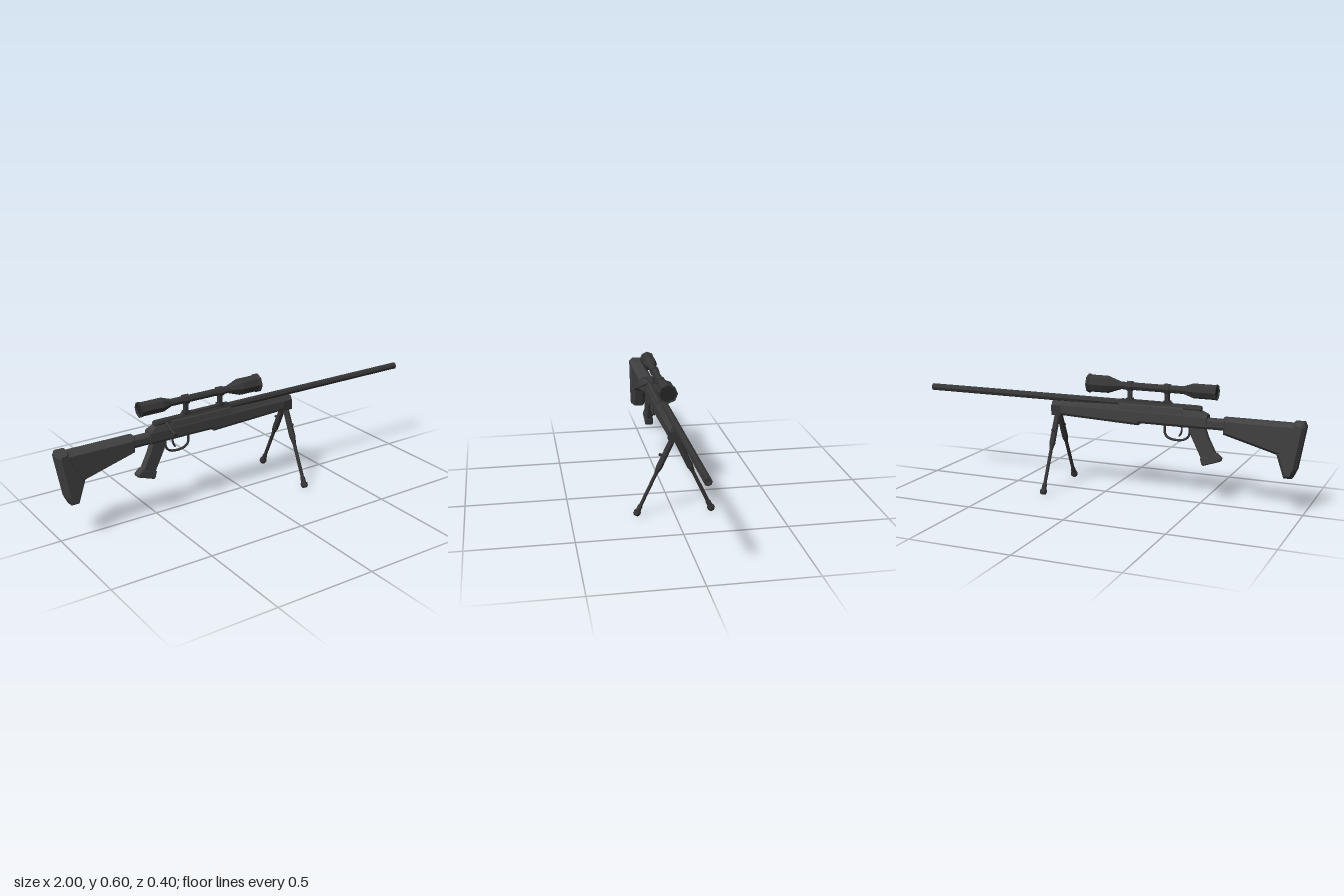
import * as THREE from 'three';

const paint = (name, color) => {
  const m = new THREE.MeshStandardMaterial({ color, flatShading: true });
  m.name = name;
  return m;
};

export function createModel() {
  const model = new THREE.Group();
  const body = paint('charcoal polymer', 0x404040);
  const metal = paint('dark steel', 0x363636);
  const glass = paint('dark glass', 0x262626);

  const add = (name, geometry, material, parent = model) => {
    const mesh = new THREE.Mesh(geometry, material);
    mesh.name = name;
    parent.add(mesh);
    return mesh;
  };

  const box = (name, x0, x1, y0, y1, halfZ, material) =>
    add(name, new THREE.BoxGeometry(x1 - x0, y1 - y0, halfZ * 2)
      .translate((x0 + x1) / 2, (y0 + y1) / 2, 0), material);

  // Side outline [x, y] with chamfered edges, centred on z = 0
  const slab = (name, outline, halfZ, bevel, material) => {
    const shape = new THREE.Shape(outline.map(([x, y]) => new THREE.Vector2(x, y)));
    const depth = 2 * (halfZ - bevel);
    const g = new THREE.ExtrudeGeometry(shape, {
      depth, bevelEnabled: bevel > 0, bevelSize: bevel * 0.75, bevelThickness: bevel,
      bevelOffset: -bevel * 0.75, bevelSegments: 1,
    });
    return add(name, g.translate(0, 0, -depth / 2), material);
  };

  // Faceted turning along x; profile is [x, radius] from rear to front
  const turned = (name, profile, y, sides, material) =>
    add(name, new THREE.LatheGeometry(profile.map(([x, r]) => new THREE.Vector2(r, x)), sides)
      .rotateZ(-Math.PI / 2).translate(0, y, 0), material);

  // Straight bar between two points
  const rod = (name, a, b, ra, rb, sides, material, parent) => {
    const from = new THREE.Vector3(...a), to = new THREE.Vector3(...b);
    const dir = to.clone().sub(from);
    const mesh = add(name, new THREE.CylinderGeometry(rb, ra, dir.length(), sides), material, parent);
    mesh.position.copy(from).addScaledVector(dir, 0.5);
    mesh.quaternion.setFromUnitVectors(new THREE.Vector3(0, 1, 0), dir.normalize());
    return mesh;
  };

  // Convex mirrored sections along x; each is [x, [[z, y] from bottom to top]]
  const loft = (name, sections, material) => {
    const rings = sections.map(([x, half]) => [
      ...half.map(([z, y]) => [x, y, z]),
      ...half.slice().reverse().map(([z, y]) => [x, y, -z]),
    ]);
    const n = rings[0].length, pos = [];
    const tri = (...corners) => corners.forEach((c) => pos.push(...c));
    for (let s = 0; s < rings.length - 1; s++) {
      const A = rings[s], B = rings[s + 1];
      for (let i = 0; i < n; i++) {
        const j = (i + 1) % n;
        tri(A[i], B[i], B[j]);
        tri(A[i], B[j], A[j]);
      }
    }
    const first = rings[0], last = rings[rings.length - 1];
    for (let i = 1; i < n - 1; i++) {
      tri(first[0], first[i], first[i + 1]);
      tri(last[0], last[i + 1], last[i]);
    }
    const g = new THREE.BufferGeometry();
    g.setAttribute('position', new THREE.Float32BufferAttribute(pos, 3));
    g.computeVertexNormals();
    return add(name, g, material);
  };

  // Shoulder stock and its pad
  slab('stock', [[-0.96, 0.437], [-0.96, 0.27], [-0.87, 0.285], [-0.61, 0.357], [-0.61, 0.437]],
    0.039, 0.02, body);
  slab('buttPad', [[-1, 0.425], [-0.99, 0.447], [-0.945, 0.447], [-0.925, 0.40], [-0.868, 0.288],
    [-0.905, 0.177], [-0.945, 0.177], [-0.965, 0.22]], 0.042, 0.02, body);
  loft('stockNeck', [-0.62, -0.51].map((x) =>
    [x, [[0.014, 0.375], [0.022, 0.388], [0.022, 0.415], [0.014, 0.426]]]), body);

  // Fore-end, stepped up ahead of the middle
  const foreSection = (x, bottom, top) =>
    [x, [[0.02, bottom], [0.028, bottom + 0.012], [0.028, 0.43], [0.018, top]]];
  loft('foreEnd', [foreSection(-0.18, 0.364, 0.462), foreSection(0.285, 0.382, 0.45)], body);
  loft('lowerReceiver', [foreSection(-0.53, 0.375, 0.442), foreSection(-0.49, 0.375, 0.46),
    foreSection(-0.18, 0.375, 0.462)], body);
  loft('upperReceiver', [[-0.41, 0.474], [-0.08, 0.474]].map(([x, top]) =>
    [x, [[0.027, 0.43], [0.022, 0.462], [0.013, top]]]), body);

  // Barrel with an open muzzle
  turned('barrel', [[-0.3, 0], [-0.3, 0.018], [0.99, 0.018], [1, 0.018], [1, 0.011], [0.98, 0.011],
    [0.98, 0]], 0.467, 8, metal);

  // Bolt and its swept handle
  turned('bolt', [[-0.497, 0], [-0.497, 0.015], [-0.485, 0.018], [-0.3, 0.018], [-0.3, 0]], 0.466, 8, metal);
  rod('boltHandle', [-0.435, 0.458, 0.012], [-0.435, 0.433, 0.078], 0.012, 0.006, 6, metal);
  rod('boltKnob', [-0.435, 0.436, 0.07], [-0.435, 0.428, 0.094], 0.006, 0.009, 6, metal);

  // Pistol grip with a flared foot
  slab('grip', [[-0.515, 0.385], [-0.535, 0.33], [-0.575, 0.25], [-0.505, 0.22], [-0.45, 0.33],
    [-0.435, 0.385]], 0.019, 0.009, body);
  slab('gripFoot', [[-0.575, 0.258], [-0.602, 0.235], [-0.598, 0.222], [-0.512, 0.192],
    [-0.505, 0.2], [-0.497, 0.228]], 0.021, 0.006, body);

  // Trigger and guard
  const guardPath = new THREE.CatmullRomCurve3([[-0.44, 0.38], [-0.435, 0.33], [-0.41, 0.309],
    [-0.345, 0.307], [-0.316, 0.325], [-0.312, 0.38]].map(([x, y]) => new THREE.Vector3(x, y, 0)));
  add('triggerGuard', new THREE.TubeGeometry(guardPath, 16, 0.006, 6, false), metal);
  const triggerPath = new THREE.QuadraticBezierCurve3(new THREE.Vector3(-0.395, 0.38, 0),
    new THREE.Vector3(-0.405, 0.345, 0), new THREE.Vector3(-0.385, 0.325, 0));
  add('trigger', new THREE.TubeGeometry(triggerPath, 5, 0.005, 5, false), metal);

  // Scope tube, recessed lenses, rings, posts and rail
  turned('scope', [[-0.56, 0], [-0.56, 0.032], [-0.572, 0.032], [-0.572, 0.039], [-0.56, 0.036],
    [-0.455, 0.036], [-0.405, 0.019], [-0.085, 0.019], [-0.015, 0.043], [0.075, 0.043],
    [0.08, 0.048], [0.09, 0.048], [0.09, 0.042], [0.075, 0.042], [0.075, 0]], 0.552, 8, metal);
  turned('frontLens', [[0.072, 0.042], [0.08, 0.042], [0.08, 0]], 0.552, 8, glass);
  turned('rearLens', [[-0.565, 0], [-0.565, 0.032], [-0.558, 0.032]], 0.552, 8, glass);
  for (const x of [-0.322, -0.13]) {
    turned('scopeRing', [[x - 0.014, 0], [x - 0.014, 0.025], [x + 0.014, 0.025], [x + 0.014, 0]],
      0.552, 8, metal);
    box('scopePost', x - 0.01, x + 0.01, 0.48, 0.54, 0.009, metal);
    box('scopeClamp', x - 0.016, x + 0.016, 0.478, 0.494, 0.014, metal);
  }
  box('scopeRail', -0.345, -0.085, 0.465, 0.486, 0.012, metal);

  // Folding two-legged support
  box('bipodHead', 0.235, 0.287, 0.378, 0.43, 0.0285, metal);
  for (const side of [1, -1]) {
    const leg = new THREE.Group();
    leg.name = side > 0 ? 'leftBipodLeg' : 'rightBipodLeg';
    model.add(leg);
    const at = (y, z) => [0.26, y, z * side];
    rod('upperLeg', at(0.4, 0.002), at(0.245, 0.075), 0.015, 0.016, 8, metal, leg);
    rod('legTaper', at(0.245, 0.075), at(0.215, 0.09), 0.016, 0.009, 8, metal, leg);
    rod('lowerLeg', at(0.22, 0.087), at(0.04, 0.172), 0.009, 0.009, 8, metal, leg);
    rod('footSleeve', at(0.055, 0.165), at(0.025, 0.179), 0.012, 0.013, 8, metal, leg);
    rod('foot', at(0.028, 0.178), at(0.014, 0.184), 0.018, 0.018, 8, metal, leg);
    rod('footTip', at(0.014, 0.184), at(0.006, 0.187), 0.018, 0.012, 8, metal, leg);
    rod('legCatch', at(0.297, 0.045), at(0.313, 0.074), 0.007, 0.007, 6, metal, leg);
  }

  return model;
}
